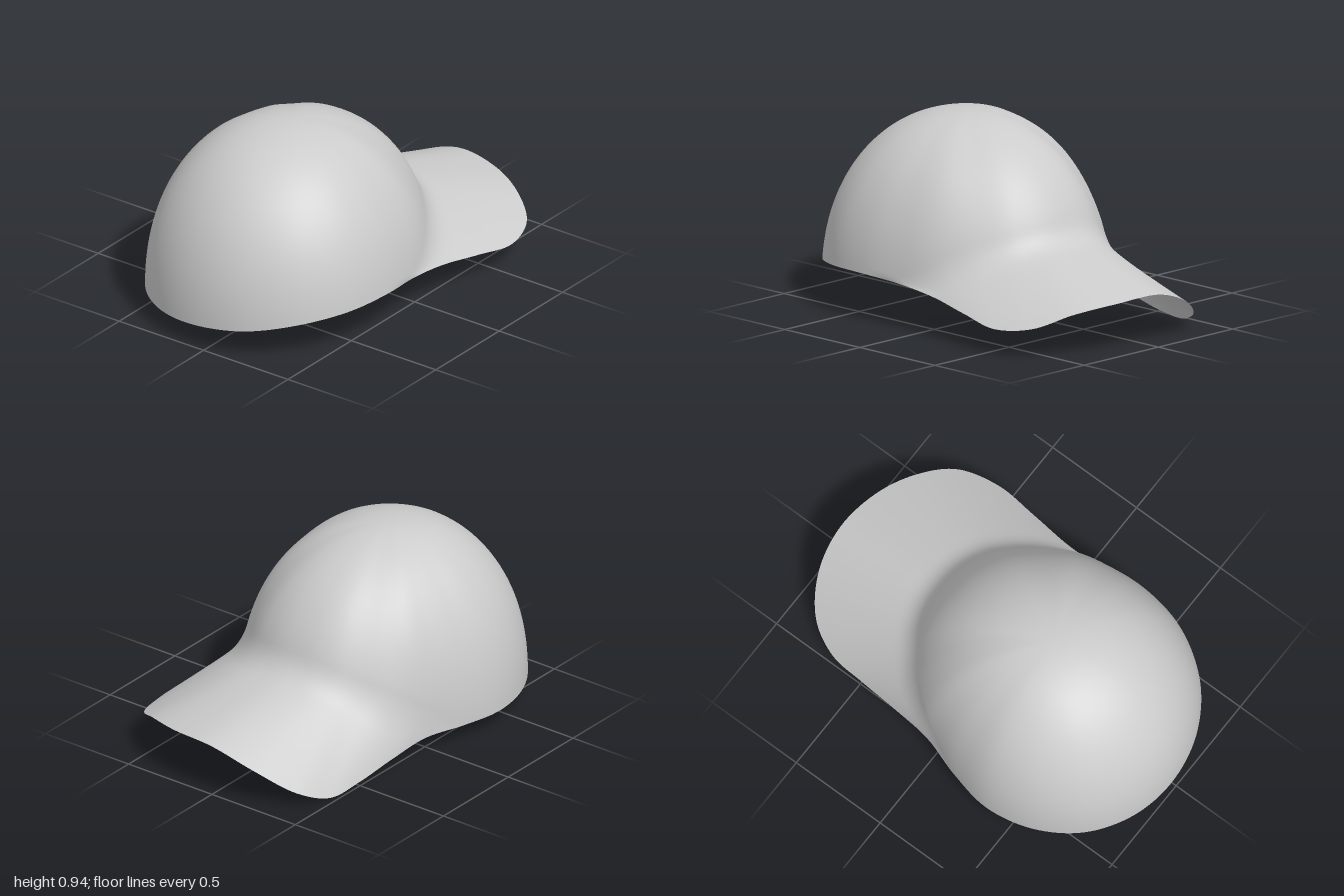
import * as THREE from 'three';

const material = new THREE.MeshStandardMaterial({ color: 0xcccccc, side: THREE.DoubleSide });
const { smoothstep, lerp, degToRad } = THREE.MathUtils;

// Outer edge of the cap, counter-clockwise from the back: [x, y, z].
const EDGE = [
  [-0.03, 0.12, 1], [0.215, 0.148, 0.955], [0.425, 0.19, 0.82], [0.565, 0.218, 0.61],
  [0.612, 0.228, 0.37], [0.597, 0.215, 0.14], [0.598, 0.19, -0.09], [0.63, 0.155, -0.33],
  [0.655, 0.125, -0.56], [0.597, 0.15, -0.755], [0.45, 0.212, -0.875], [0.25, 0.247, -0.965],
  [0, 0.256, -1], [-0.22, 0.18, -0.962], [-0.39, 0.068, -0.848], [-0.468, 0.003, -0.69],
  [-0.492, 0.014, -0.5], [-0.52, 0.056, -0.27], [-0.553, 0.09, -0.06], [-0.62, 0.092, 0.15],
  [-0.66, 0.09, 0.37], [-0.612, 0.09, 0.61], [-0.475, 0.092, 0.82], [-0.265, 0.1, 0.955],
];

// Where the crown meets the brim, for edge points 6 to 18.
const FOLD_START = 6;
const FOLD = [
  [0.56, 0.235, -0.005], [0.5, 0.28, -0.12], [0.41, 0.33, -0.23], [0.29, 0.375, -0.33],
  [0.18, 0.4, -0.38], [0.08, 0.41, -0.405], [-0.03, 0.415, -0.41], [-0.14, 0.405, -0.4],
  [-0.24, 0.375, -0.37], [-0.34, 0.325, -0.31], [-0.44, 0.265, -0.23], [-0.515, 0.2, -0.125],
  [-0.565, 0.14, 0],
];

const APEX = new THREE.Vector3(-0.04, 0.935, 0.3);
const closedCurve = (pts) =>
  new THREE.CatmullRomCurve3(pts.map((p) => new THREE.Vector3(...p)), true, 'centripetal');
const edgeCurve = closedCurve(EDGE);
const baseCurve = closedCurve(EDGE.map((p, i) => FOLD[i - FOLD_START] ?? p));

// One line from the apex over the crown and out along the brim.
function meridian(t, rows) {
  const edge = edgeCurve.getPoint(t);
  const base = baseCurve.getPoint(t);
  const reach = edge.distanceTo(base);
  const brim = smoothstep(reach, 0, 0.5);

  // The crown ends upright at the back and leans inward at the front and left.
  const end = degToRad(90 - lerp(8 * smoothstep(base.x, 0, 0.6), 18, brim));
  const power = lerp(0.93, 0.95, brim);
  const crownPoint = (f) => {
    const a = end * f;
    const u = Math.pow(Math.sin(a) / Math.sin(end), power);
    const v = Math.pow(Math.max(0, (Math.cos(a) - Math.cos(end)) / (1 - Math.cos(end))), power);
    const p = APEX.clone().lerp(base, u);
    p.y = lerp(base.y, APEX.y, v);
    return p;
  };

  // A rounded fold joins crown and brim and fades out with the brim.
  const fold = 0.1 * (1 - Math.exp(-reach / 0.1));
  const cut = 1 - fold / 0.95;
  const pts = [];
  for (let k = 0; k <= 28; k++) pts.push(crownPoint((cut * k) / 28));
  if (reach > 1e-3) {
    const start = pts[28];
    const stop = base.clone().lerp(edge, fold / reach);
    const bend = new THREE.QuadraticBezierCurve3(start, base, stop);
    for (let k = 1; k <= 8; k++) pts.push(bend.getPoint(k / 8));
    for (let k = 1; k <= 8; k++) pts.push(stop.clone().lerp(edge, k / 8));
  }
  return new THREE.CatmullRomCurve3(pts).getSpacedPoints(rows);
}

// Crown and brim are one thin continuous shell.
function shellGeometry(cols = 192, rows = 56) {
  const position = [...APEX.toArray()];
  const index = [];
  const id = (i, j) => (j === 0 ? 0 : 1 + (i % cols) * rows + j - 1);
  for (let i = 0; i < cols; i++) {
    const line = meridian(i / cols, rows);
    for (let j = 1; j <= rows; j++) position.push(...line[j].toArray());
    for (let j = 0; j < rows; j++) {
      index.push(id(i, j), id(i, j + 1), id(i + 1, j + 1));
      if (j > 0) index.push(id(i, j), id(i + 1, j + 1), id(i + 1, j));
    }
  }
  const g = new THREE.BufferGeometry();
  g.setAttribute('position', new THREE.Float32BufferAttribute(position, 3));
  g.setIndex(index);
  g.computeVertexNormals();
  return g;
}

export function createModel() {
  const cap = new THREE.Group();
  cap.name = 'cap';
  const shell = new THREE.Mesh(shellGeometry(), material);
  shell.name = 'crownAndBrim';
  cap.add(shell);
  return cap;
}
